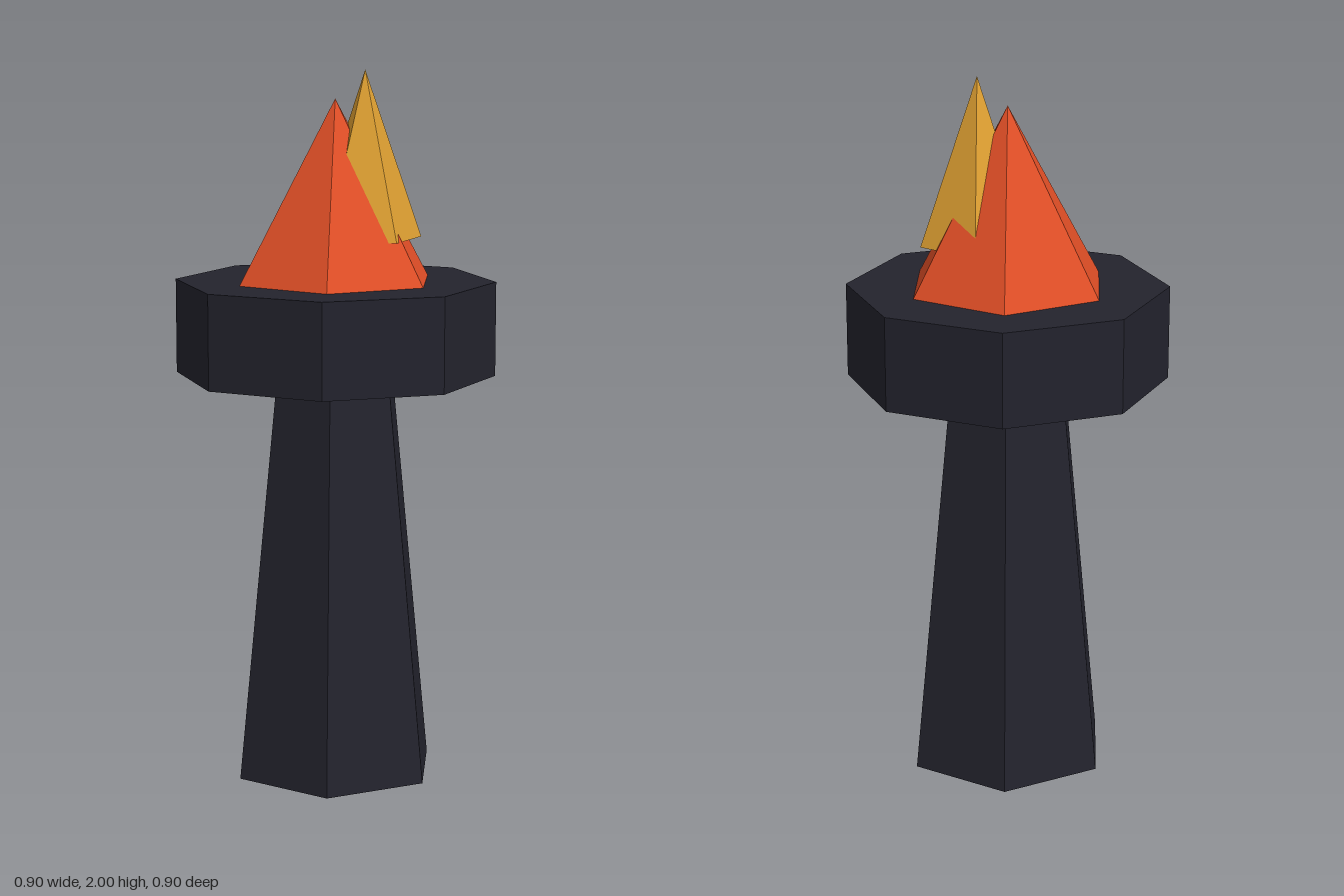
import * as THREE from 'three';

export function createModel() {
  const model = new THREE.Group();
  model.name = 'torch';

  const mat = (name, color) => {
    const m = new THREE.MeshStandardMaterial({ color, flatShading: true });
    m.name = name;
    return m;
  };
  const iron = mat('dark iron', 0x23232d);
  const red = mat('flame red', 0xe04e26);
  const gold = mat('flame gold', 0xdfa032);

  // Faceted prism or cone standing between heights y0 and y1
  const add = (name, material, rTop, rBottom, y0, y1, sides) => {
    const mesh = new THREE.Mesh(new THREE.CylinderGeometry(rTop, rBottom, y1 - y0, sides), material);
    mesh.name = name;
    mesh.position.y = (y0 + y1) / 2;
    model.add(mesh);
    return mesh;
  };

  // Tapered hexagonal post and octagonal bowl
  add('post', iron, 0.18, 0.3, 0, 1.15, 6);
  add('bowl', iron, 0.45, 0.45, 1.15, 1.415, 8);

  // Large flame, with a smaller five-sided tongue leaning out of its left side
  add('outerFlame', red, 0, 0.292, 1.415, 1.92, 6);
  const tongue = add('innerFlame', gold, 0, 0.163, 1.535, 2, 5);
  tongue.position.x = 0.083;
  tongue.rotation.y = Math.PI;

  return model;
}
